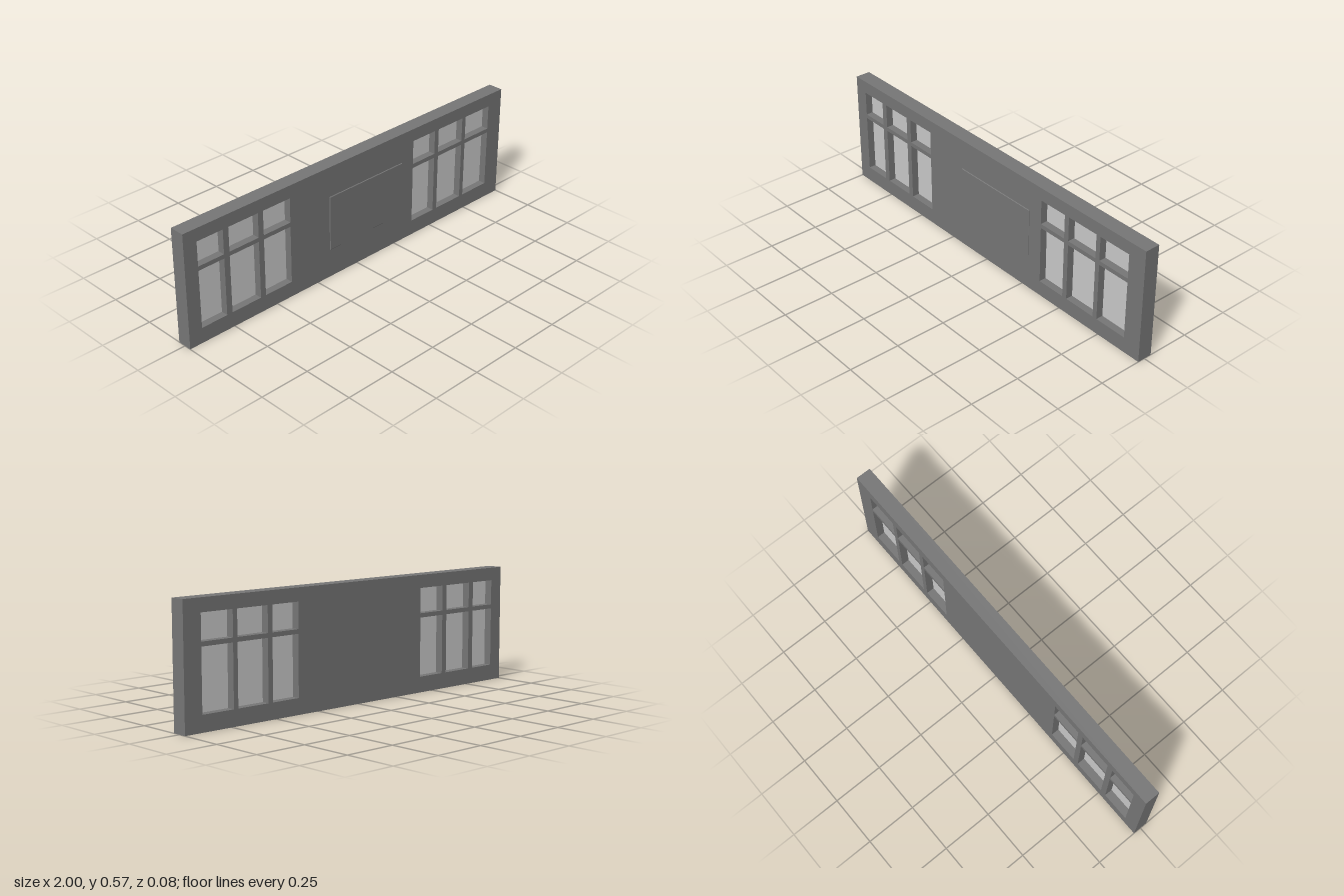
import * as THREE from 'three';

const BACK = -0.039, FRONT = 0.036, HEIGHT = 0.571;

// window grid: [from, to] of every column and row of panes
const columns = [
  [-0.93, -0.79], [-0.76, -0.596], [-0.567, -0.412],
  [0.37, 0.52], [0.546, 0.715], [0.739, 0.908],
];
const rows = [[0.077, 0.365], [0.386, 0.508]];

function rectangle(Type, x0, x1, y0, y1) {
  const path = new Type();
  path.moveTo(x0, y0);
  path.lineTo(x1, y0);
  path.lineTo(x1, y1);
  path.lineTo(x0, y1);
  path.closePath();
  return path;
}

export function createModel() {
  const group = new THREE.Group();
  const wallMaterial = new THREE.MeshStandardMaterial({ color: 0x777777, flatShading: true });
  const glassMaterial = new THREE.MeshStandardMaterial({ color: 0xcccccc, side: THREE.DoubleSide });

  // wall slab with window openings, and a thin pane halfway through each
  const outline = rectangle(THREE.Shape, -1, 1, 0, HEIGHT);
  const panes = new THREE.Group();
  panes.name = 'windowPanes';
  for (const [x0, x1] of columns) {
    for (const [y0, y1] of rows) {
      outline.holes.push(rectangle(THREE.Path, x0, x1, y0, y1));
      const pane = new THREE.Mesh(new THREE.PlaneGeometry(x1 - x0, y1 - y0), glassMaterial);
      pane.name = 'windowPane';
      pane.position.set((x0 + x1) / 2, (y0 + y1) / 2, 0);
      panes.add(pane);
    }
  }
  const wallGeometry = new THREE.ExtrudeGeometry(outline, { depth: FRONT - BACK, bevelEnabled: false });
  wallGeometry.translate(0, 0, BACK);
  const wall = new THREE.Mesh(wallGeometry, wallMaterial);
  wall.name = 'wall';

  // shallow board on the front, with slightly chamfered edges
  const chamfer = 0.002;
  const board = new THREE.Mesh(
    new THREE.ExtrudeGeometry(rectangle(THREE.Shape, -0.175, 0.294, 0.145, 0.421), {
      depth: 0.006, bevelThickness: chamfer, bevelSize: chamfer, bevelOffset: -chamfer, bevelSegments: 1,
    }),
    wallMaterial,
  );
  board.name = 'frontBoard';
  board.position.z = 0.04 - 0.006 - chamfer;

  group.add(wall, panes, board);
  return group;
}
